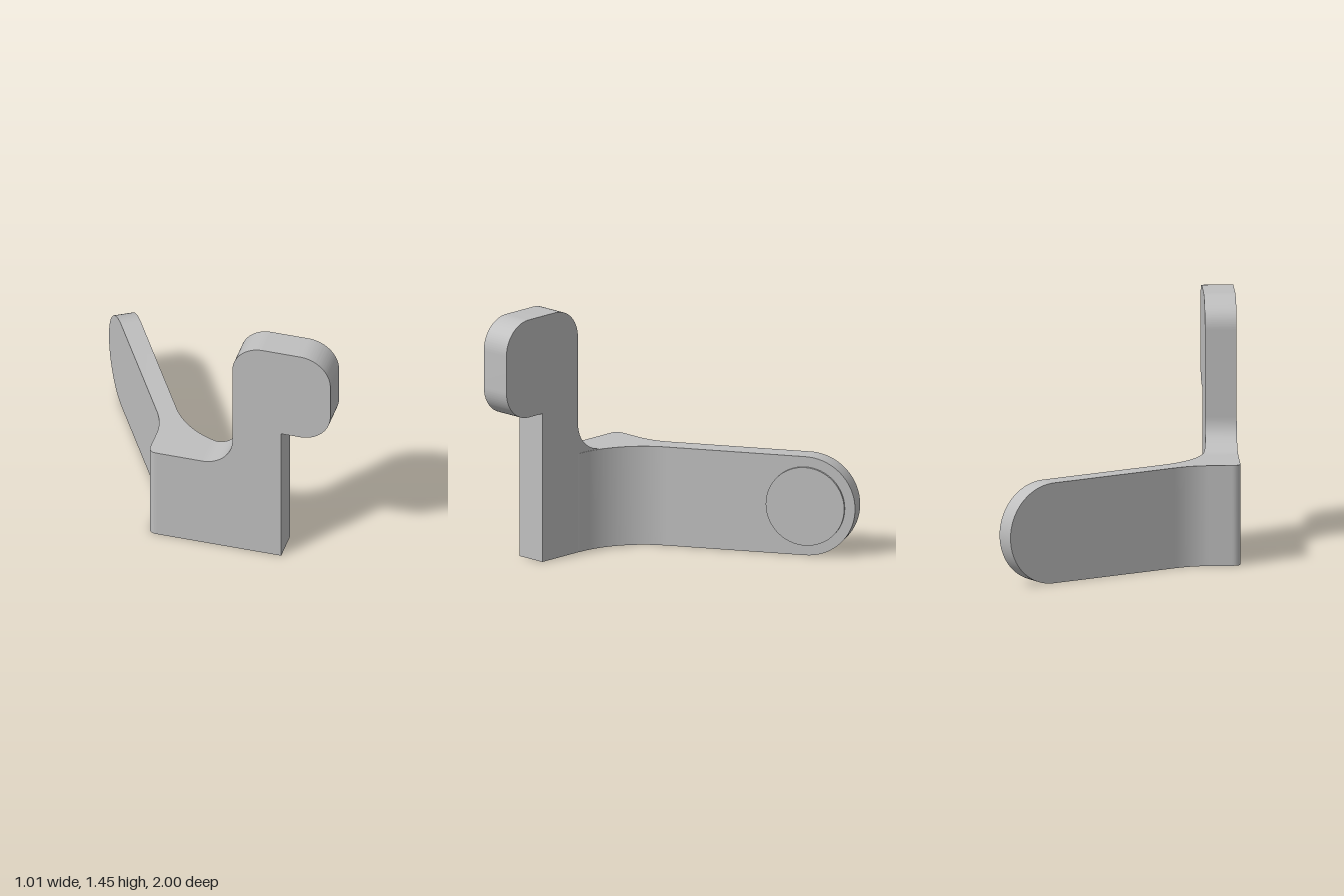
import * as THREE from 'three';
import { toCreasedNormals } from 'three/addons/utils/BufferGeometryUtils.js';

const H = 0.58;              // height of the low parts
const T = 0.18;              // thickness of the slanted plate
const R = 0.18;              // corner radius of the head and upright
const U0 = 0.497;            // where the upright begins along the plate
const ANGLE = Math.PI / 6;   // slant of the plate
const CX = -0.52, CZ = 0.463; // sharp outer corner of the plate
const SEAM = 0.11;           // z where the arm joins the bend
const BEND = 0.5;            // inner bend radius

// plan point u along the slanted plate and s behind its front face, as (x, -z)
const plan = (u, s) => [
  CX + u * Math.cos(ANGLE) + s * Math.sin(ANGLE),
  -(CZ + u * Math.sin(ANGLE) - s * Math.cos(ANGLE)),
];

const extrude = (shape, depth) =>
  new THREE.ExtrudeGeometry(shape, { depth, bevelEnabled: false, curveSegments: 24 });

export function createModel() {
  const group = new THREE.Group();
  const grey = new THREE.MeshStandardMaterial({ color: 0xbfbfbf });
  grey.name = 'grey';

  const add = (parent, name, geometry) => {
    const mesh = new THREE.Mesh(toCreasedNormals(geometry, 0.45), grey);
    mesh.name = name;
    parent.add(mesh);
    return mesh;
  };

  // Straight arm with a round end, reaching back
  const armShape = new THREE.Shape();
  armShape.moveTo(-SEAM, 0);
  armShape.lineTo(0.71, 0);
  armShape.absarc(0.71, H / 2, H / 2, -Math.PI / 2, Math.PI / 2, false);
  armShape.lineTo(-SEAM, H);
  const arm = add(group, 'arm', extrude(armShape, 0.115).rotateY(Math.PI / 2));
  arm.position.x = -0.38;

  // Raised round pad on the arm
  const pad = add(group, 'pad', new THREE.CylinderGeometry(0.23, 0.23, 0.02, 64).rotateZ(Math.PI / 2));
  pad.position.set(-0.26, H / 2, -0.71);

  // Bend between the arm and the slanted plate
  const bend = new THREE.Shape();
  bend.moveTo(-0.38, -SEAM);
  bend.quadraticCurveTo(-0.38, -0.22, ...plan(0, 0.18));
  bend.lineTo(...plan(0, 0.05));
  bend.quadraticCurveTo(CX, -CZ, ...plan(0.05, 0));
  bend.lineTo(...plan(U0, 0));
  bend.lineTo(...plan(U0, T));
  bend.absarc(-0.265 + BEND, -SEAM, BEND, Math.PI * 4 / 3, Math.PI, true);
  add(group, 'bend', extrude(bend, H).rotateX(-Math.PI / 2));

  // Slanted plate: local x runs along it, its front face is at local z = 0
  const plate = new THREE.Group();
  plate.name = 'slantedPlate';
  plate.position.set(CX, 0, CZ);
  plate.rotation.y = -ANGLE;
  group.add(plate);

  // Upright with a head that overhangs on one side
  const U1 = 0.785, U2 = 1.075, Y1 = 0.873, Y2 = 1.447;
  const up = new THREE.Shape();
  up.moveTo(U0, 0);
  up.lineTo(U1, 0);
  up.lineTo(U1, Y1);
  up.absarc(U2 - R, Y1 + R, R, -Math.PI / 2, 0, false);
  up.absarc(U2 - R, Y2 - R, R, 0, Math.PI / 2, false);
  up.absarc(U0 + R, Y2 - R, R, Math.PI / 2, Math.PI, false);
  add(plate, 'uprightAndHead', extrude(up, T)).position.z = -T;

  // Concave fillet under the upright, with its back following the inner bend
  const fillet = new THREE.BoxGeometry(1, 1, 1, 24, 1, 1);
  const p = fillet.attributes.position;
  for (let i = 0; i < p.count; i++) {
    const t = (p.getX(i) + 0.5) * Math.PI / 2;
    const u = U0 - R + R * Math.sin(t);
    const y = p.getY(i) > 0 ? H + R - R * Math.cos(t) : H;
    const off = Math.min(0, u - 0.477);
    const s = BEND + T - Math.sqrt(BEND * BEND - off * off);
    p.setXYZ(i, u, y, p.getZ(i) > 0 ? 0 : -s);
  }
  add(plate, 'uprightFillet', fillet);

  return group;
}
